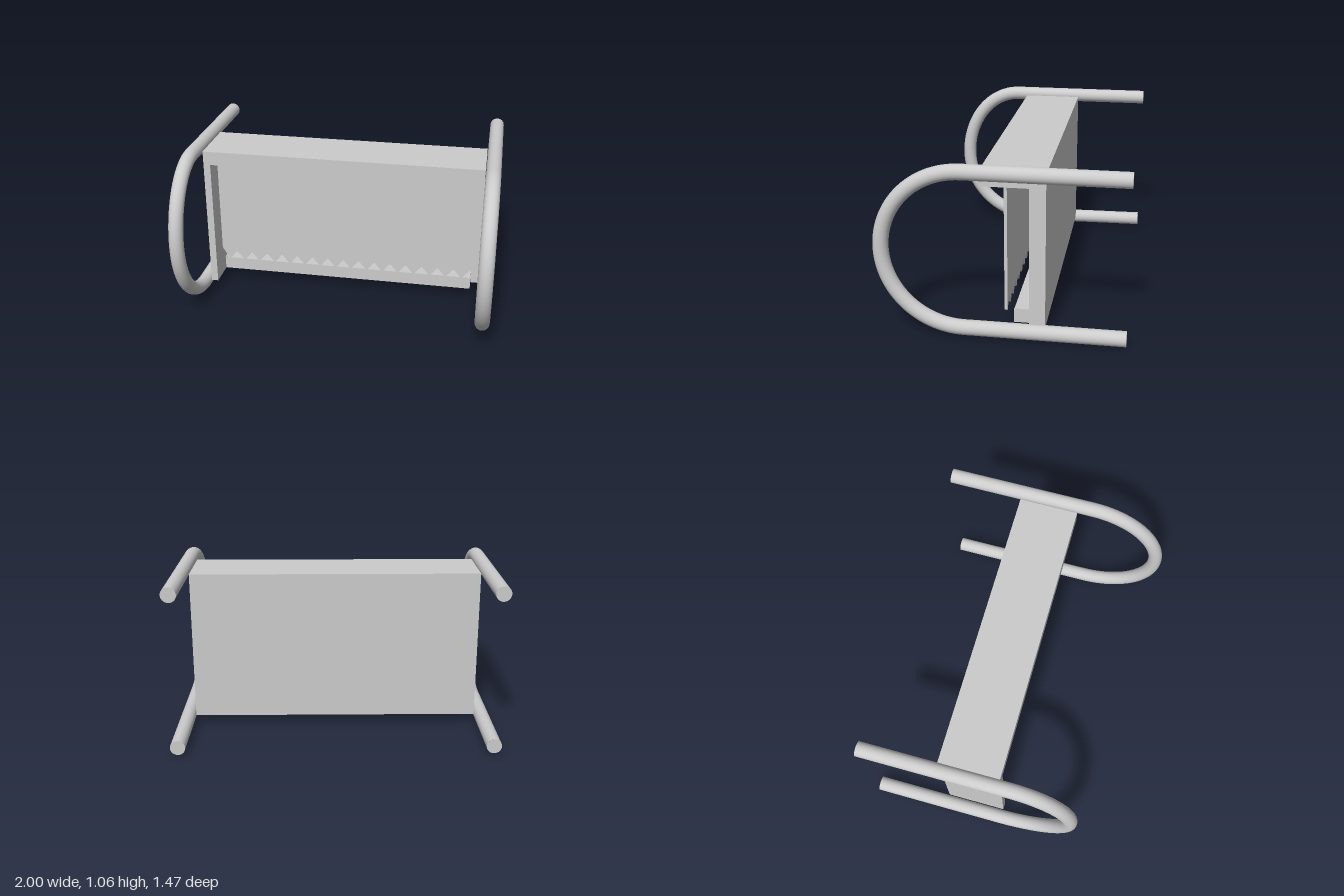
import * as THREE from 'three';

const mat = new THREE.MeshStandardMaterial({ color: 0xcccccc });

function add(parent, name, geometry) {
  const mesh = new THREE.Mesh(geometry, mat);
  mesh.name = name;
  parent.add(mesh);
  return mesh;
}

// Box given by its limits on each axis
function block(parent, name, [x0, x1], [y0, y1], [z0, z1]) {
  const mesh = add(parent, name, new THREE.BoxGeometry(x1 - x0, y1 - y0, z1 - z0));
  mesh.position.set((x0 + x1) / 2, (y0 + y1) / 2, (z0 + z1) / 2);
}

// U-shaped tube: two straight rails joined by a bend at the front.
// top and bottom give where the bend starts: [z, y].
function hoop(parent, name, x, front, top, bottom) {
  const r = 0.046, back = -0.735, railTop = 1.01, railBottom = 0.055, mid = 0.533;
  const tip = front - r;
  const pts = [];
  for (let i = 0; i < 12; i++) {
    const t = i / 12;
    pts.push(new THREE.Vector3(x, railTop + (top[1] - railTop) * t, back + (top[0] - back) * t));
  }
  for (let i = 0; i <= 32; i++) {
    const a = Math.PI / 2 - (i / 32) * Math.PI;
    const [z, y] = a >= 0 ? top : bottom;
    pts.push(new THREE.Vector3(x, mid + Math.abs(y - mid) * Math.sin(a), z + (tip - z) * Math.cos(a)));
  }
  for (let i = 1; i <= 12; i++) {
    const t = i / 12;
    pts.push(new THREE.Vector3(x, bottom[1] + (railBottom - bottom[1]) * t, bottom[0] + (back - bottom[0]) * t));
  }
  const group = new THREE.Group();
  group.name = name;
  add(group, 'tube', new THREE.TubeGeometry(new THREE.CatmullRomCurve3(pts), 140, r, 28));
  for (const y of [railTop, railBottom]) {
    const cap = add(group, 'tubeEnd', new THREE.CircleGeometry(r, 28));
    cap.position.set(x, y, back);
    cap.rotation.y = Math.PI;
  }
  parent.add(group);
}

export function createModel() {
  const model = new THREE.Group();

  // Housing, open at the front, the bottom and the left end
  const housing = new THREE.Group();
  housing.name = 'housing';
  block(housing, 'topPanel', [-0.905, 0.905], [0.915, 1.005], [-0.26, 0.12]);
  block(housing, 'backPanel', [-0.905, 0.905], [0.058, 0.915], [-0.26, -0.165]);
  block(housing, 'rightWall', [-0.905, -0.86], [0.058, 0.915], [-0.165, 0.12]);
  model.add(housing);

  // Bottom bar with thin end plates
  const bar = new THREE.Group();
  bar.name = 'bottomBar';
  block(bar, 'bar', [-0.85, 0.845], [0.06, 0.143], [-0.165, -0.07]);
  block(bar, 'rightEndPlate', [-0.86, -0.85], [0.06, 0.148], [-0.165, -0.07]);
  block(bar, 'leftEndPlate', [0.845, 0.855], [0.06, 0.148], [-0.165, -0.07]);
  model.add(bar);

  // Hanging plate with a toothed lower edge
  const plate = new THREE.Shape();
  const teeth = 16, pitch = 0.107, start = -0.81;
  plate.moveTo(-0.86, 0.915);
  plate.lineTo(-0.86, 0.245);
  plate.lineTo(start, 0.16);
  for (let i = 0; i < teeth; i++) {
    plate.lineTo(start + (i + 0.5) * pitch, 0.225);
    plate.lineTo(start + (i + 1) * pitch, 0.16);
  }
  plate.lineTo(0.905, 0.165);
  plate.lineTo(0.905, 0.915);
  const plateGeometry = new THREE.ExtrudeGeometry(plate, { depth: 0.018, bevelEnabled: false });
  add(model, 'toothedPlate', plateGeometry).position.z = -0.04;

  // Tubular side frames; the right one is shallower
  hoop(model, 'leftFrame', 0.954, 0.735, [0.212, 1.01], [0.212, 0.055]);
  hoop(model, 'rightFrame', -0.954, 0.62, [0.19, 1.01], [0.1, 0.046]);

  return model;
}
